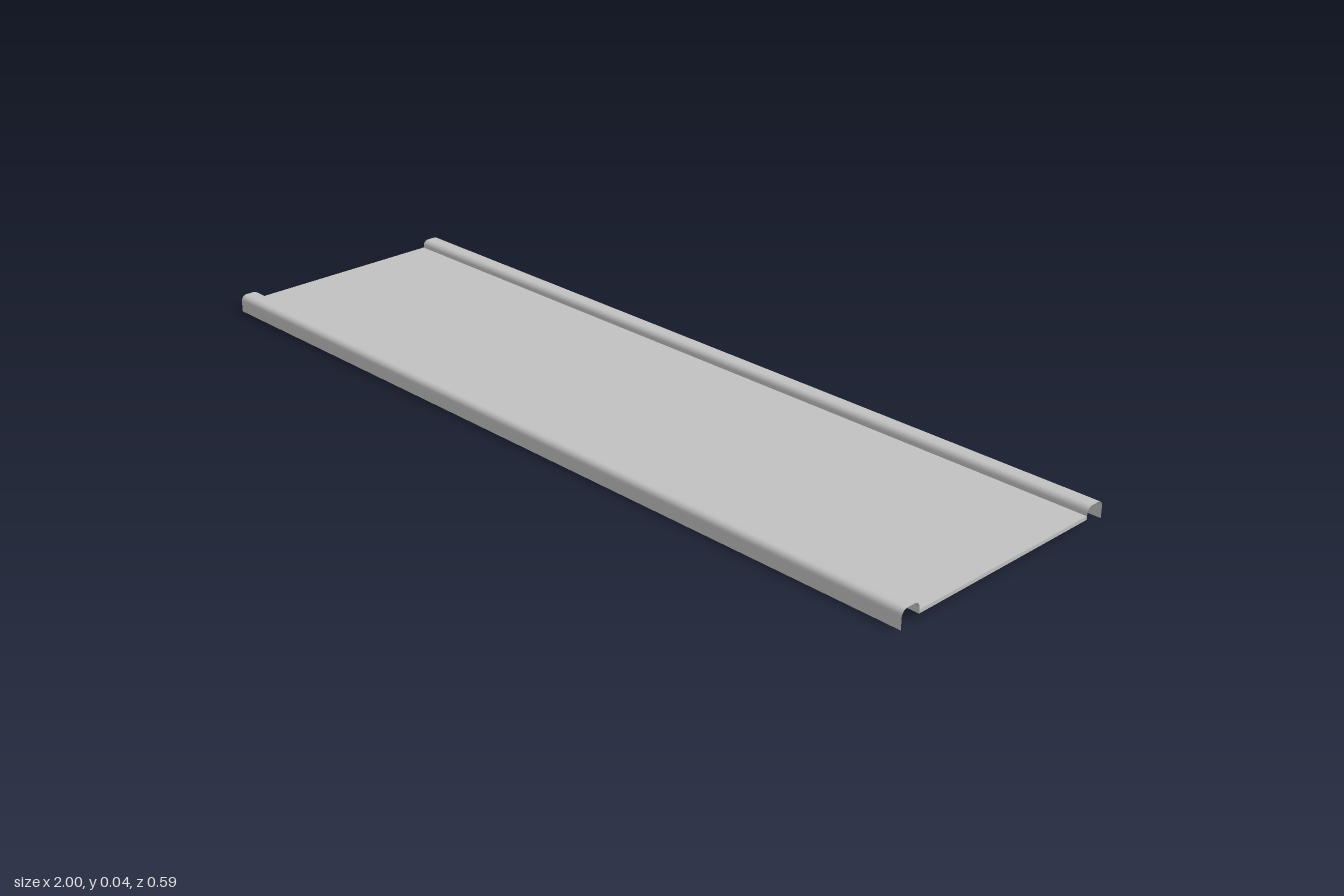
import * as THREE from 'three';

const LENGTH = 2;

// Open sheet swept along x from a (z, y) cross-section, smooth across its bends
function sweptSheet(points) {
  const geo = new THREE.PlaneGeometry(LENGTH, 1, 1, points.length - 1);
  const pos = geo.attributes.position;
  for (let i = 0; i < pos.count; i++) {
    const p = points[Math.floor(i / 2)];
    pos.setXYZ(i, pos.getX(i), p.y, p.x);
  }
  geo.computeVertexNormals();
  return geo;
}

export function createModel() {
  const metal = new THREE.MeshStandardMaterial({ color: 0xc0c0c0, side: THREE.DoubleSide });
  metal.name = 'light grey metal';
  const model = new THREE.Group();
  model.name = 'trayPanel';

  // Flat floor plate
  const floor = new THREE.Mesh(new THREE.BoxGeometry(LENGTH, 0.008, 0.496), metal);
  floor.name = 'floorPlate';
  floor.position.y = 0.018;
  model.add(floor);

  // Rail section: inner wall, rounded top, longer outer wall
  const inner = 0.249, outer = 0.297, top = 0.04, r = 0.014;
  const section = [new THREE.Vector2(inner, 0.014)];
  for (let i = 0; i <= 6; i++) {
    const a = Math.PI - (i / 6) * Math.PI / 2;
    section.push(new THREE.Vector2(inner + r + r * Math.cos(a), top - r + r * Math.sin(a)));
  }
  for (let i = 0; i <= 6; i++) {
    const a = Math.PI / 2 - (i / 6) * Math.PI / 2;
    section.push(new THREE.Vector2(outer - r + r * Math.cos(a), top - r + r * Math.sin(a)));
  }
  section.push(new THREE.Vector2(outer, 0));

  // Folded rails along the front and back edges
  const railGeometry = sweptSheet(section);
  for (const [name, turn] of [['frontRail', 0], ['backRail', Math.PI]]) {
    const rail = new THREE.Mesh(railGeometry, metal);
    rail.name = name;
    rail.rotation.y = turn;
    model.add(rail);
  }
  return model;
}
